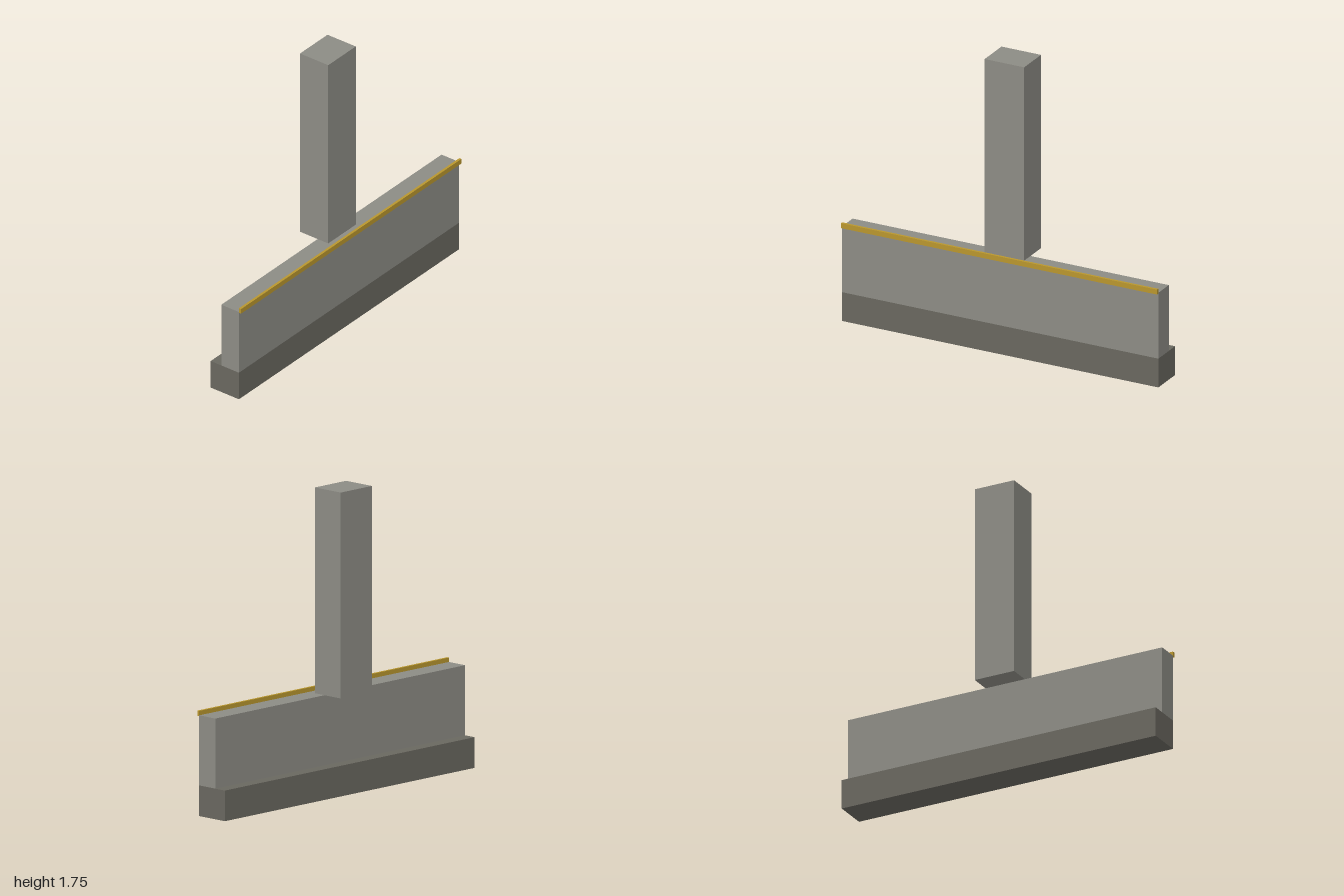
import * as THREE from 'three';

const material = (name, color) => {
  const m = new THREE.MeshStandardMaterial({ color });
  m.name = name;
  return m;
};

export function createModel() {
  const group = new THREE.Group();
  group.name = 'barrierWall';
  const concrete = material('concrete grey', 0x8c8b84);
  const darkConcrete = material('dark concrete', 0x69675f);
  const gold = material('gold trim', 0xb8962e);

  // Box given by its width (centred on x) and its y and z limits
  const block = (name, width, y0, y1, z0, z1, mat) => {
    const mesh = new THREE.Mesh(new THREE.BoxGeometry(width, y1 - y0, z1 - z0), mat);
    mesh.position.set(0, (y0 + y1) / 2, (z0 + z1) / 2);
    mesh.name = name;
    group.add(mesh);
  };

  // Wide plinth with the thinner wall flush to its front
  block('plinth', 2, 0, 0.175, -0.0825, 0.1175, darkConcrete);
  block('wall', 2, 0.175, 0.575, -0.0075, 0.1175, concrete);
  // Narrow strip along the top front edge
  block('trimStrip', 2, 0.57, 0.6, 0.1175, 0.1325, gold);
  // Pillar on top, overhanging the back of the wall
  block('pillar', 0.25, 0.575, 1.75, -0.1325, 0.0675, concrete);

  return group;
}
